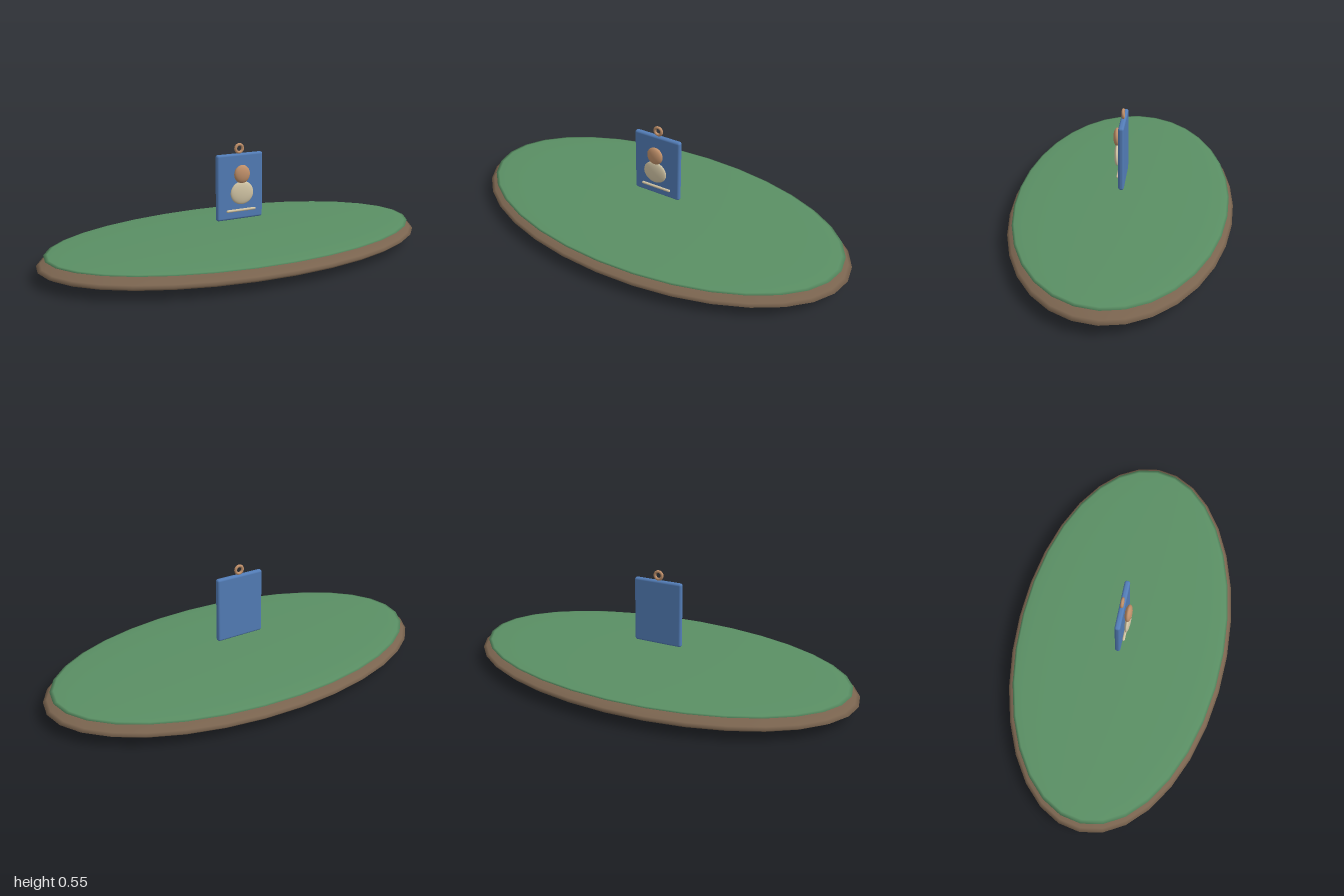
import * as THREE from 'three';
import { RoundedBoxGeometry } from 'three/addons/geometries/RoundedBoxGeometry.js';

const material = (name, color) => {
  const m = new THREE.MeshStandardMaterial({ color });
  m.name = name;
  return m;
};

export function createModel() {
  const group = new THREE.Group();
  const earth = material('earth brown', 0x7a644f);
  const grass = material('grass green', 0x5a8f64);
  const blue = material('tag blue', 0x527cb6);
  const tan = material('warm tan', 0xc0906a);
  const cream = material('cream', 0xd2c5a5);

  const add = (name, geometry, mat, x, y, z) => {
    const mesh = new THREE.Mesh(geometry, mat);
    mesh.name = name;
    mesh.position.set(x, y, z);
    group.add(mesh);
    return mesh;
  };
  const ellipsoid = (name, mat, y, z, rx, ry, rz) =>
    add(name, new THREE.SphereGeometry(1, 32, 16).scale(rx, ry, rz), mat, 0, y, z);

  // Flattened oval island with a thin grass cap
  ellipsoid('groundBase', earth, 0.059, 0, 1, 0.058, 0.545);
  ellipsoid('grassCap', grass, 0.104, 0, 0.965, 0.018, 0.522);

  // Upright tag floating above the grass
  add('tagPlate', new RoundedBoxGeometry(0.25, 0.325, 0.027, 4, 0.011), blue, 0, 0.342, 0);
  add('hangingRing', new THREE.TorusGeometry(0.019, 0.007, 12, 28), tan, 0, 0.528, 0);

  // Raised figure and ground line on the front face
  ellipsoid('figureHead', tan, 0.407, 0.03, 0.042, 0.045, 0.018);
  ellipsoid('figureBody', cream, 0.315, 0.029, 0.062, 0.057, 0.014);
  const bar = add('groundLine', new THREE.CapsuleGeometry(0.0065, 0.148, 6, 12), cream, 0, 0.227, 0.021);
  bar.rotation.z = Math.PI / 2;

  return group;
}
